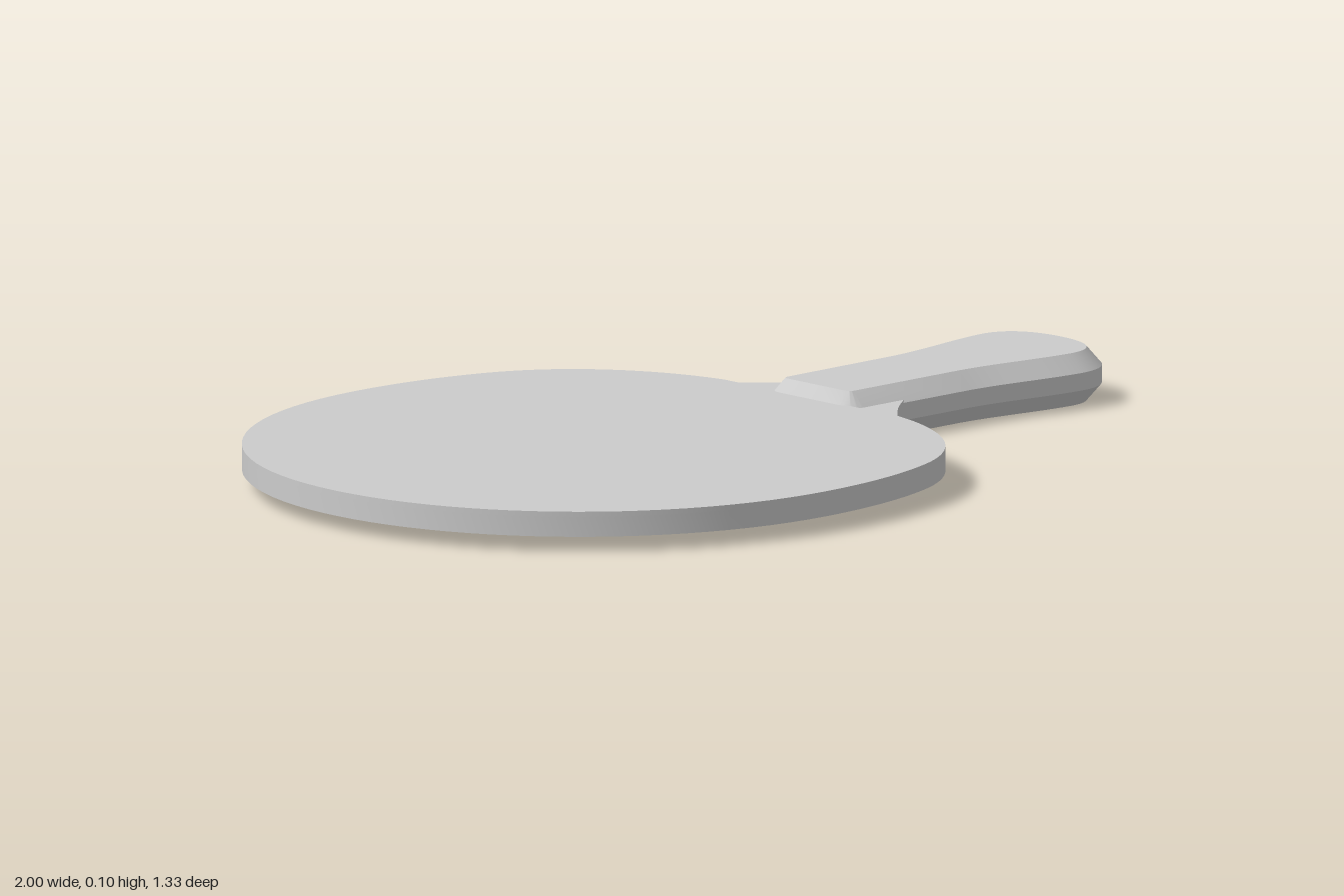
import * as THREE from 'three';
import { toCreasedNormals } from 'three/addons/utils/BufferGeometryUtils.js';

const material = new THREE.MeshStandardMaterial({ color: 0xcccccc });

// Closed shape from one half outline, mirrored across the long axis
function mirroredShape(half, divisions) {
  const upper = half.getPoints(divisions);
  const lower = upper.filter((p) => p.y > 1e-4).reverse().map((p) => new THREE.Vector2(p.x, -p.y));
  return new THREE.Shape([...upper, ...lower]);
}

// Horizontal slab from y0 to y1, with an optional outward chamfer on both faces
function slab(name, shape, y0, y1, chamferHeight = 0, chamferWidth = 0) {
  const geometry = new THREE.ExtrudeGeometry(shape, {
    depth: y1 - y0 - 2 * chamferHeight,
    bevelEnabled: chamferHeight > 0,
    bevelThickness: chamferHeight,
    bevelSize: chamferWidth,
    bevelSegments: 1,
  });
  geometry.rotateX(-Math.PI / 2);
  geometry.translate(0, y0 + chamferHeight, 0);
  const mesh = new THREE.Mesh(toCreasedNormals(geometry, 0.5), material);
  mesh.name = name;
  return mesh;
}

// Half outline of the rounded blade, from its tip to the shoulder
function bladeHalf() {
  const p = new THREE.Path();
  p.moveTo(-1, 0);
  p.bezierCurveTo(-1, 0.37, -0.7, 0.667, -0.31, 0.667);
  p.bezierCurveTo(-0.2, 0.667, -0.09, 0.65, 0.01, 0.612);
  p.bezierCurveTo(0.16, 0.555, 0.262, 0.41, 0.29, 0.245);
  return p;
}

export function createModel() {
  const group = new THREE.Group();
  group.name = 'paddle';

  // Blade: thick lower layer and thin facing on top
  const blade = mirroredShape(bladeHalf(), 24);
  group.add(slab('blade', blade, 0.03, 0.07));
  group.add(slab('topFacing', blade, 0.07, 0.08));

  // Neck flaring from the handle to the blade shoulders
  const neck = new THREE.Path();
  neck.moveTo(0.1, 0);
  neck.lineTo(0.1, 0.245);
  neck.lineTo(0.29, 0.245);
  neck.quadraticCurveTo(0.345, 0.175, 0.425, 0.12);
  neck.lineTo(0.425, 0);
  group.add(slab('neck', mirroredShape(neck, 12), 0.037, 0.075));

  // Chamfered grip that widens toward a rounded butt
  const grip = new THREE.Path();
  grip.moveTo(0.302, 0);
  grip.lineTo(0.302, 0.082);
  grip.quadraticCurveTo(0.303, 0.093, 0.316, 0.094);
  grip.lineTo(0.6, 0.095);
  grip.bezierCurveTo(0.7, 0.098, 0.78, 0.124, 0.87, 0.128);
  grip.bezierCurveTo(0.935, 0.13, 0.968, 0.08, 0.968, 0);
  group.add(slab('handle', mirroredShape(grip, 12), 0, 0.105, 0.035, 0.03));

  return group;
}
